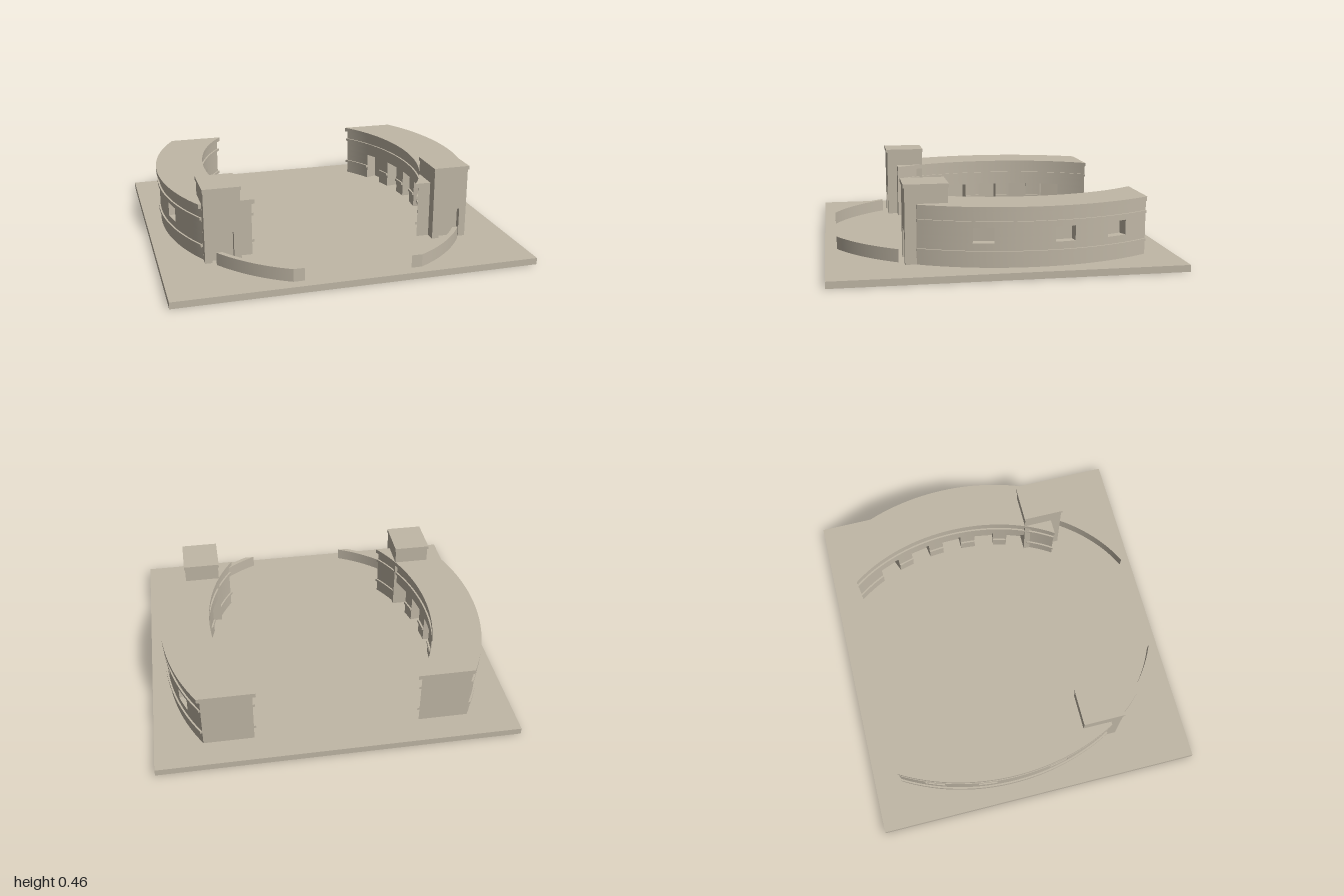
import * as THREE from 'three';
import { toCreasedNormals } from 'three/addons/utils/BufferGeometryUtils.js';

const GROUND = 0.037, CENTRE_Z = -0.137;
const OUTER = { a: 0.905, b: 1.093, out: 1 };
const INNER = { a: 0.655, b: 0.892, out: -1 };

// point on an ellipse side at depth z, pushed out from the wall by off
function at(face, z, off = 0) {
  const t = (z - CENTRE_Z) / (face.b + face.out * off);
  return [(face.a + face.out * off) * Math.sqrt(1 - t * t), z];
}

// one side of a plan outline, with optional recesses cut into it
function side(face, z0, z1, off, cuts, half, depth) {
  const rows = [];
  for (let i = 0; i <= 48; i++) {
    const z = z0 + (z1 - z0) * i / 48;
    if (!cuts.some(c => Math.abs(z - c) <= half + 0.003)) rows.push([z, [at(face, z, off)]]);
  }
  for (const c of cuts) {
    const [x] = at(face, c);
    let nx = x / face.a ** 2, nz = (c - CENTRE_Z) / face.b ** 2;
    const k = face.out / Math.hypot(nx, nz);
    nx *= k; nz *= k;
    const push = (z, d) => { const p = at(face, z); return [p[0] + nx * d, p[1] + nz * d]; };
    rows.push([c, [push(c - half, off), push(c - half, -depth), push(c + half, -depth), push(c + half, off)]]);
  }
  rows.sort((p, q) => p[0] - q[0]);
  return rows.flatMap(r => r[1]);
}

// vertical prism over a plan outline of [x, z] points
function prism(points, y0, y1, s) {
  const shape = new THREE.Shape(points.map(([x, z]) => new THREE.Vector2(s * x, -z)));
  const geo = new THREE.ExtrudeGeometry(shape, { depth: y1 - y0, bevelEnabled: false });
  geo.rotateX(-Math.PI / 2).translate(0, y0, 0);
  return toCreasedNormals(geo, 0.35);
}

export function createModel() {
  const stone = new THREE.MeshStandardMaterial({ color: 0xc0b7a6 });
  stone.name = 'warm stone';
  const model = new THREE.Group();
  model.name = 'crescentBuildings';

  const add = (parent, name, geo) => {
    const mesh = new THREE.Mesh(geo, stone);
    mesh.name = name;
    parent.add(mesh);
    return mesh;
  };
  const box = (parent, name, x0, x1, y0, y1, z0, z1) =>
    add(parent, name, new THREE.BoxGeometry(x1 - x0, y1 - y0, z1 - z0))
      .position.set((x0 + x1) / 2, (y0 + y1) / 2, (z0 + z1) / 2);

  box(model, 'basePlate', -1, 1, 0, GROUND, -0.935, 0.935);

  // storeys from bottom to top: name, y0, y1, projection, has doors, has windows
  const layers = [
    ['lowerWall', GROUND, 0.11, 0, 1, 0],
    ['lowerBand', 0.11, 0.125, 0.01, 1, 0],
    ['middleWall', 0.125, 0.165, 0, 1, 0],
    ['sillWall', 0.165, 0.2, 0, 1, 1],
    ['windowWall', 0.2, 0.245, 0, 0, 1],
    ['lintelWall', 0.245, 0.265, 0, 0, 0],
    ['upperBand', 0.265, 0.28, 0.01, 0, 0],
    ['upperWall', 0.28, 0.332, 0, 0, 0],
    ['roofCornice', 0.332, 0.357, 0.015, 0, 0],
  ];
  const doors = [-0.56, -0.355, -0.15, 0.055, 0.25];
  const windows = [-0.588, -0.292, 0.135];

  for (const s of [1, -1]) {
    const half = new THREE.Group();
    half.name = s > 0 ? 'leftWing' : 'rightWing';
    model.add(half);

    // curved wing
    for (const [name, y0, y1, off, hasDoors, hasWindows] of layers) {
      const outer = side(OUTER, -0.775, 0.465, off, hasWindows ? windows : [], 0.054, 0.05);
      const inner = side(INNER, -0.775, 0.465, off, hasDoors ? doors : [], 0.058, 0.07);
      add(half, name, prism([...outer, ...inner.reverse()], y0, y1, s));
    }

    // low curved garden wall
    const wallOut = side({ a: 0.9, b: 1.095, out: 1 }, 0.555, 0.87, 0, [], 0, 0);
    const wallIn = side({ a: 0.87, b: 1.07, out: 1 }, 0.555, 0.87, 0, [], 0, 0);
    add(half, 'gardenWall', prism([...wallOut, ...wallIn.reverse()], GROUND, 0.108, s));

    // tower with a recessed doorway and a cap
    const tower = new THREE.Group();
    tower.name = 'tower';
    tower.position.x = s * 0.655;
    half.add(tower);
    box(tower, 'towerBody', -0.1, 0.1, GROUND, 0.44, 0.3, 0.495);
    const front = new THREE.Shape([
      [-0.1, GROUND], [-0.06, GROUND], [-0.06, 0.205], [0.06, 0.205],
      [0.06, GROUND], [0.1, GROUND], [0.1, 0.44], [-0.1, 0.44],
    ].map(p => new THREE.Vector2(...p)));
    const frontGeo = new THREE.ExtrudeGeometry(front, { depth: 0.03, bevelEnabled: false });
    add(tower, 'towerDoorway', frontGeo.translate(0, 0, 0.495));
    box(tower, 'towerCap', -0.105, 0.105, 0.44, 0.46, 0.295, 0.532);
  }
  return model;
}
